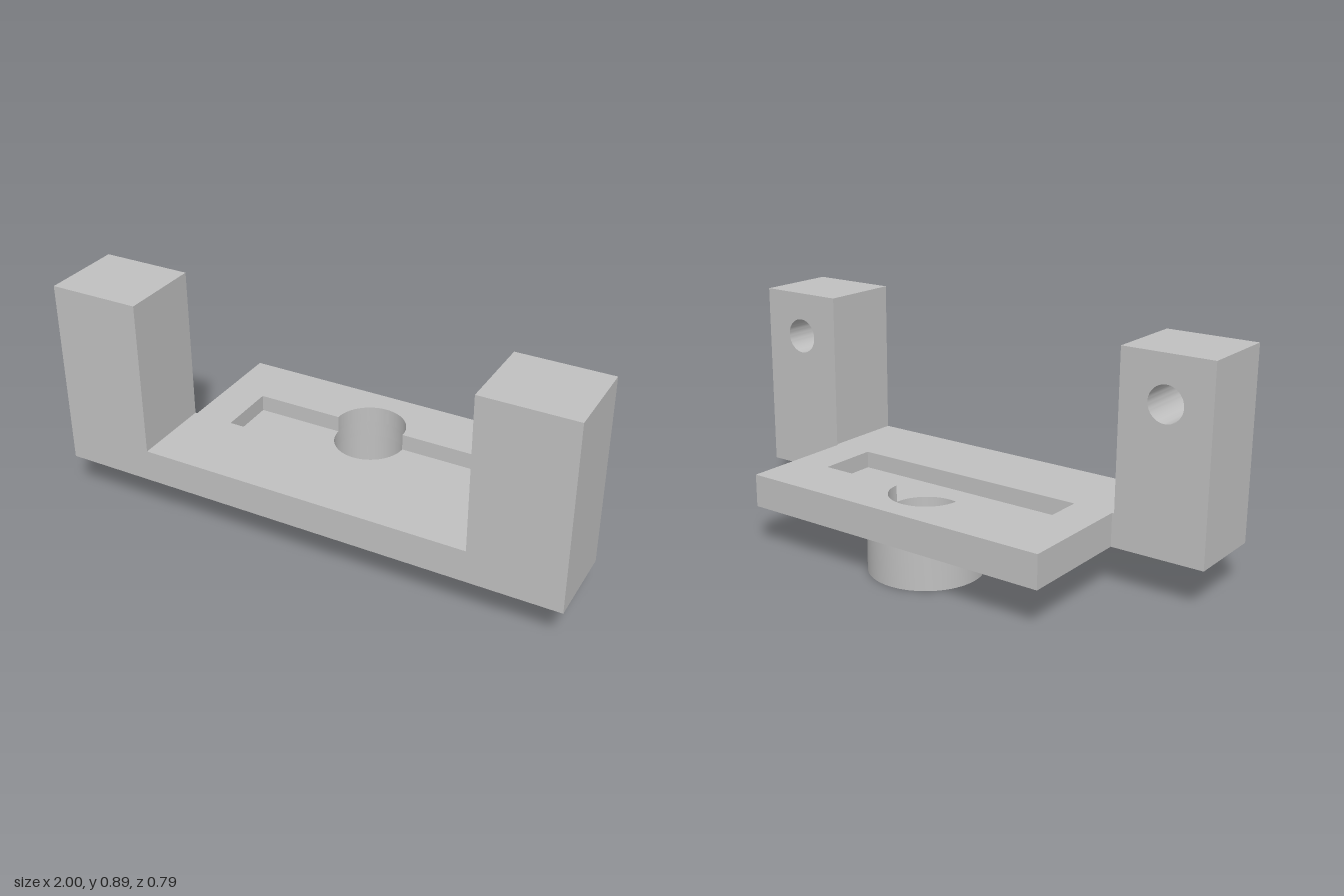
import * as THREE from 'three';
import { toCreasedNormals } from 'three/addons/utils/BufferGeometryUtils.js';

const BASE = 0.163, DECK = 0.29, TOP = 0.89;      // heights
const BACK = -0.393, STEP = 0.073, FRONT = 0.393; // depths
const BORE_Z = -0.163, BORE_R = 0.139;

export function createModel() {
  const group = new THREE.Group();
  const grey = new THREE.MeshStandardMaterial({ color: 0xc0c0c0 });
  grey.name = 'grey';

  const circle = (x, y, r) => new THREE.Path().absarc(x, y, r, 0, Math.PI * 2, true);
  const polygon = (pts) => new THREE.Shape(pts.map(([x, y]) => new THREE.Vector2(x, y)));

  const extrude = (shape, depth) =>
    new THREE.ExtrudeGeometry(shape, { depth, bevelEnabled: false, curveSegments: 32 });
  function add(name, geometry) {
    const mesh = new THREE.Mesh(toCreasedNormals(geometry, 0.6), grey);
    mesh.name = name;
    group.add(mesh);
  }
  // Upright slab: outline in x,y, from z0 to z1
  const upright = (name, shape, z0, z1) => add(name, extrude(shape, z1 - z0).translate(0, 0, z0));
  // Flat layer: outline in x,-z, from y0 to y1
  const layer = (name, shape, y0, y1) =>
    add(name, extrude(shape, y1 - y0).rotateX(-Math.PI / 2).translate(0, y0, 0));

  // U-shaped bracket with two posts; the rear portion carries blind screw holes
  const bracket = () => polygon([
    [-1, BASE], [1, BASE], [1, TOP], [0.648, TOP],
    [0.648, DECK], [-0.648, DECK], [-0.648, TOP], [-1, TOP],
  ]);
  const drilled = bracket();
  for (const side of [-1, 1]) drilled.holes.push(circle(side * 0.825, 0.715, 0.068));
  upright('bracketRear', drilled, STEP, 0.313);
  upright('bracketFront', bracket(), 0.313, FRONT);

  // Lower half of the deck, with the bore through it
  const floorY = 0.225;
  const lower = polygon([[-0.64, -STEP], [0.64, -STEP], [0.64, -BACK], [-0.64, -BACK]]);
  lower.holes.push(circle(0, -BORE_Z, BORE_R));
  layer('deckLower', lower, BASE, floorY);

  // Upper half, cut out around the slot and the back half of the bore
  const upper = new THREE.Shape();
  upper.moveTo(0.64, -STEP);
  upper.lineTo(0.64, -BACK);
  upper.lineTo(-0.64, -BACK);
  upper.lineTo(-0.64, -STEP);
  upper.lineTo(-0.485, -STEP);
  upper.lineTo(-0.485, -BORE_Z);
  upper.absarc(0, -BORE_Z, BORE_R, Math.PI, 0, true);
  upper.lineTo(0.485, -BORE_Z);
  upper.lineTo(0.485, -STEP);
  layer('deckUpper', upper, floorY, DECK);

  // Round collar below the bore
  const collar = new THREE.Shape().absarc(0, -BORE_Z, 0.217, 0, Math.PI * 2, false);
  collar.holes.push(circle(0, -BORE_Z, BORE_R));
  layer('collar', collar, 0, BASE);

  return group;
}
